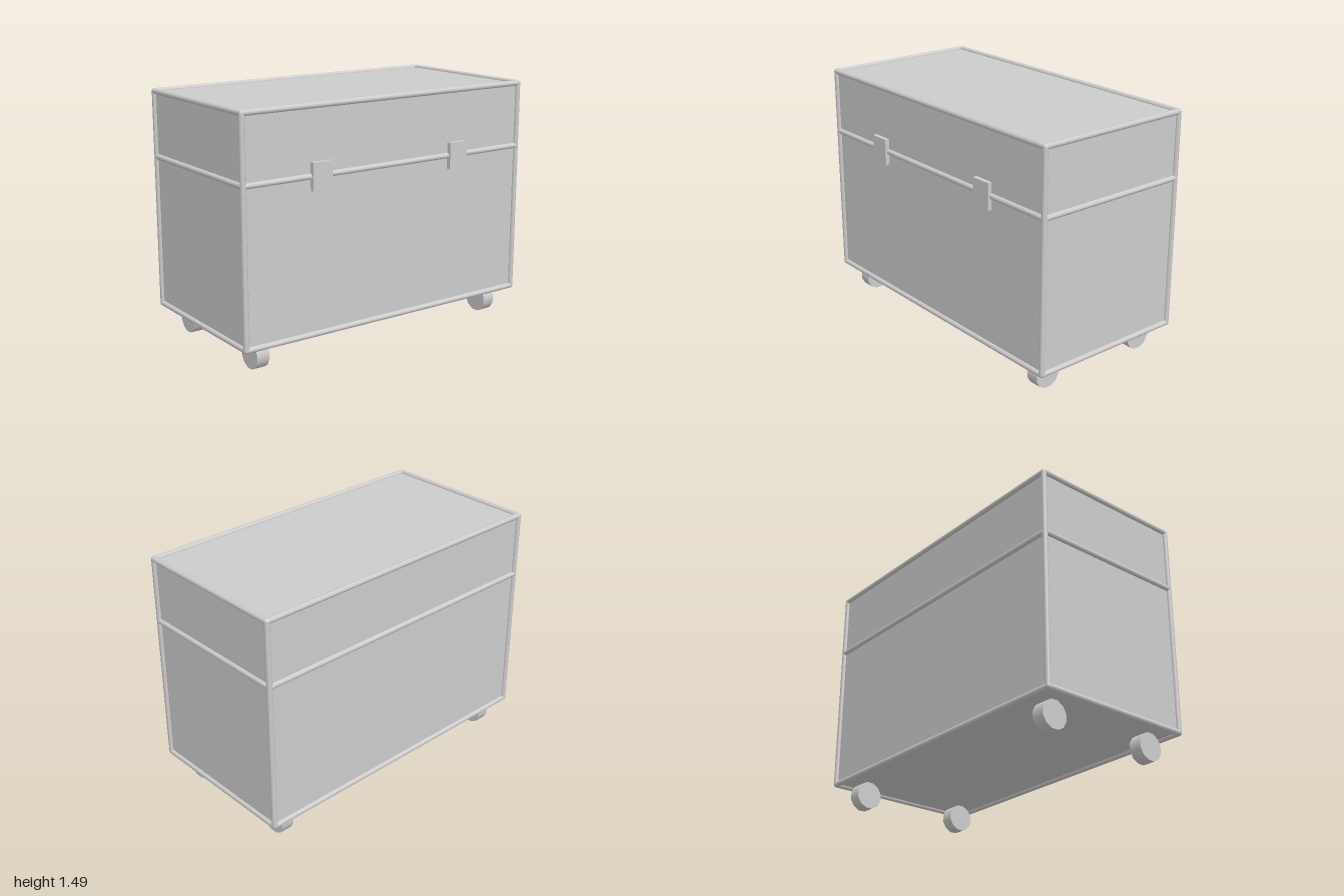
import * as THREE from 'three';

export function createModel() {
  const grey = new THREE.MeshStandardMaterial({ color: 0xcccccc });
  grey.name = 'light grey';
  const model = new THREE.Group();
  model.name = 'wheeledTrunk';

  const X = 0.983, Z = 0.493, Z0 = -0.005; // half width, half depth, depth centre
  const BOTTOM = 0.168, SEAM = 1.081, TOP = 1.47, R = 0.017;

  function add(name, geometry, x, y, z, parent = model) {
    const mesh = new THREE.Mesh(geometry, grey);
    mesh.name = name;
    mesh.position.set(x, y, z);
    parent.add(mesh);
    return mesh;
  }

  // Trunk body and lid
  add('body', new THREE.BoxGeometry(2 * X, SEAM - BOTTOM, 2 * Z), 0, (SEAM + BOTTOM) / 2, Z0);
  add('lid', new THREE.BoxGeometry(2 * X, TOP - SEAM, 2 * Z), 0, (TOP + SEAM) / 2, Z0);

  // Round edging: horizontal loops at the base, seam and top
  const edging = new THREE.Group();
  edging.name = 'edging';
  model.add(edging);
  const rail = (length) => new THREE.CylinderGeometry(R, R, length, 12);
  for (const [name, y] of [['baseRail', BOTTOM], ['seamRail', SEAM], ['topRail', TOP]]) {
    for (const s of [-1, 1]) {
      add(name, rail(2 * X), 0, y, Z0 + s * Z, edging).rotation.z = Math.PI / 2;
      add(name, rail(2 * Z), s * X, y, Z0, edging).rotation.x = Math.PI / 2;
    }
  }

  for (const sx of [-1, 1]) {
    for (const sz of [-1, 1]) {
      // Upright edging with rounded corner caps
      add('cornerRail', rail(TOP - BOTTOM), sx * X, (TOP + BOTTOM) / 2, Z0 + sz * Z, edging);
      for (const y of [BOTTOM, TOP]) {
        add('cornerCap', new THREE.SphereGeometry(R, 12, 8), sx * X, y, Z0 + sz * Z, edging);
      }
      // Twelve-sided wheels resting on a flat
      const wheel = new THREE.CylinderGeometry(0.085, 0.085, 0.08, 12);
      wheel.rotateY(Math.PI / 12).rotateZ(Math.PI / 2);
      add('wheel', wheel, sx * 0.846, 0.0821, Z0 + sz * 0.36);
    }
    // Front clasps across the seam
    add('clasp', new THREE.BoxGeometry(0.13, 0.16, 0.03), sx * 0.49, 1.081, 0.5);
  }

  return model;
}
